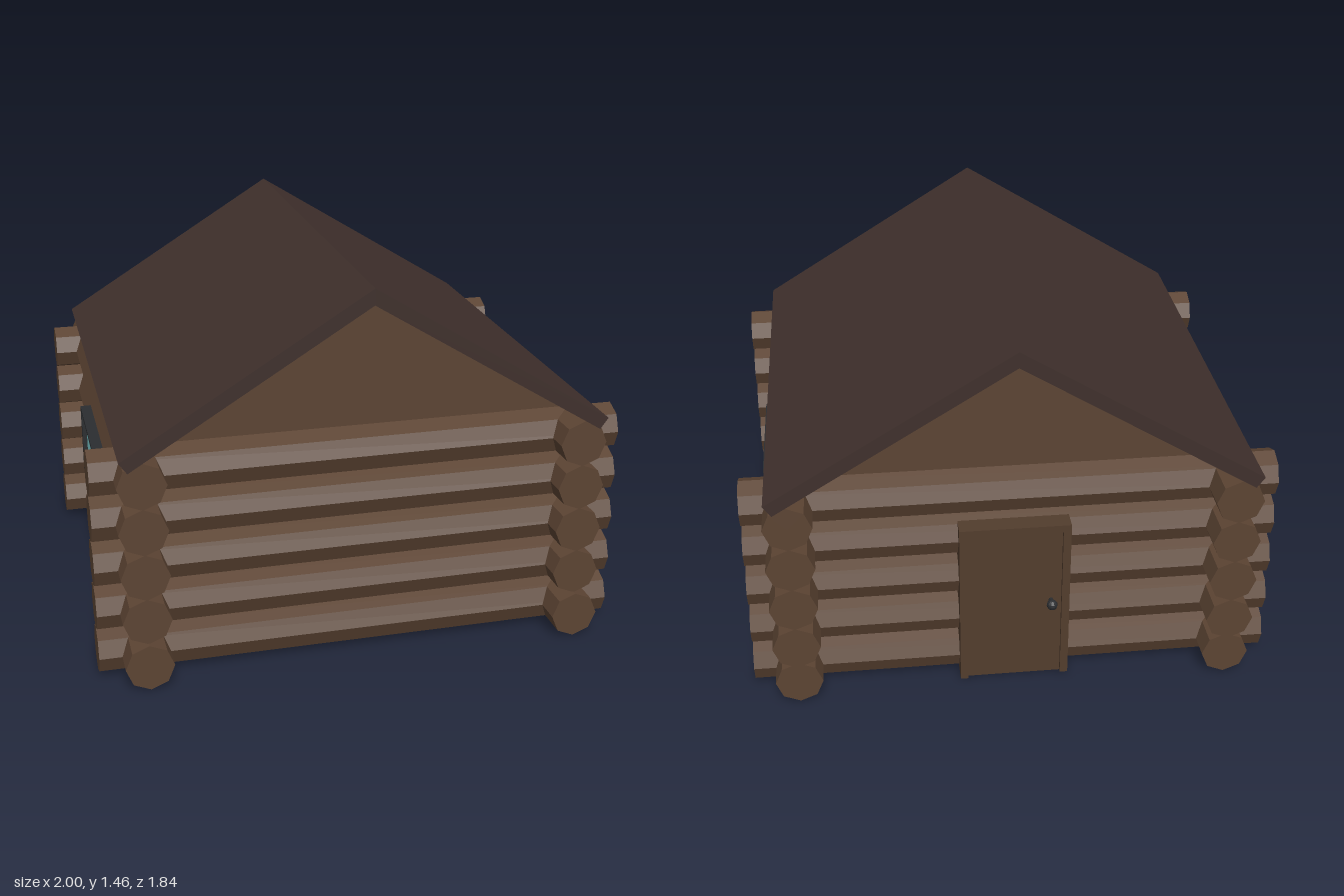
import * as THREE from 'three';

const mat = (color) => new THREE.MeshStandardMaterial({ color, flatShading: true });

export function createModel() {
  const cabin = new THREE.Group();
  cabin.name = 'logCabin';
  const wood = mat(0x5c4433), roofMat = mat(0x3f302c), doorMat = mat(0x523d2d);
  const dark = mat(0x2b2d30), glassMat = mat(0x80d0d4), floorMat = mat(0x4a3a2c);

  const add = (name, geometry, material, x, y, z, parent = cabin) => {
    const mesh = new THREE.Mesh(geometry, material);
    mesh.name = name;
    mesh.position.set(x, y, z);
    parent.add(mesh);
    return mesh;
  };
  const box = (name, material, [x0, x1], [y0, y1], [z0, z1], parent) =>
    add(name, new THREE.BoxGeometry(x1 - x0, y1 - y0, z1 - z0), material,
      (x0 + x1) / 2, (y0 + y1) / 2, (z0 + z1) / 2, parent);
  // Flat outline in x and y, extruded from z0 to z1
  const slab = (name, points, z0, z1, material) => {
    const shape = new THREE.Shape(points.map(([x, y]) => new THREE.Vector2(x, y)));
    const geometry = new THREE.ExtrudeGeometry(shape, { depth: z1 - z0, bevelEnabled: false });
    return add(name, geometry, material, 0, 0, z0);
  };

  // Log walls: five crossing courses of octagonal logs
  const R = 0.09, sideX = 0.825, frontZ = 0.73, backZ = -0.71;
  const wideLog = new THREE.CylinderGeometry(R, R, 2, 8).rotateZ(Math.PI / 2);
  const deepLog = new THREE.CylinderGeometry(R, R, 1.815, 8).rotateX(Math.PI / 2);
  for (let i = 0; i < 5; i++) {
    const y = R + i * 0.177;
    add('frontLog', wideLog, wood, 0, y, frontZ);
    add('backLog', wideLog, wood, 0, y, backZ);
    for (const s of [-1, 1]) add('sideLog', deepLog, wood, s * sideX, y, i === 0 ? 0.012 : -0.008);
  }
  box('floor', floorMat, [-sideX, sideX], [0, 0.03], [backZ, frontZ]);

  // Gables, set back above the middle of the end walls
  const gable = [[-0.84, 0.79], [0.84, 0.79], [0.84, 0.896], [0, 1.392], [-0.84, 0.896]];
  slab('frontGable', gable, frontZ - 0.03, frontZ, wood);
  slab('backGable', gable, backZ, backZ + 0.03, wood);

  // Roof: one bent slab with square-cut eaves
  slab('roof', [[-0.905, 0.904], [-0.875, 0.862], [0, 1.402], [0.875, 0.862], [0.905, 0.904], [0, 1.463]],
    -0.922, 0.922, roofMat);

  // Side windows: frame bars around a slightly recessed pane
  for (const s of [-1, 1]) {
    const win = new THREE.Group();
    win.name = s > 0 ? 'leftWindow' : 'rightWindow';
    cabin.add(win);
    const span = (a, b) => (s > 0 ? [a, b] : [-b, -a]);
    const depth = span(0.82, 0.937);
    box('windowPane', glassMat, span(0.82, 0.919), [0.38, 0.665], [-0.25, 0.23], win);
    box('windowTop', dark, depth, [0.657, 0.672], [-0.275, 0.255], win);
    box('windowSill', dark, depth, [0.373, 0.388], [-0.275, 0.255], win);
    box('windowPost', dark, depth, [0.388, 0.657], [0.222, 0.255], win);
    box('windowPost', dark, depth, [0.388, 0.657], [-0.275, -0.242], win);
  }

  // Back door: frame, recessed leaf and knob
  const door = new THREE.Group();
  door.name = 'door';
  cabin.add(door);
  const doorDepth = [-0.835, -0.72];
  box('doorLeaf', doorMat, [-0.19, 0.18], [0, 0.67], [-0.82, -0.72], door);
  box('doorPost', doorMat, [0.175, 0.205], [0, 0.69], doorDepth, door);
  box('doorPost', doorMat, [-0.215, -0.185], [0, 0.69], doorDepth, door);
  box('doorLintel', doorMat, [-0.185, 0.175], [0.66, 0.69], doorDepth, door);
  const stem = new THREE.CylinderGeometry(0.009, 0.009, 0.03, 8).rotateX(Math.PI / 2);
  add('knobStem', stem, dark, -0.145, 0.345, -0.83, door);
  add('doorKnob', new THREE.SphereGeometry(0.021, 10, 8), dark, -0.145, 0.345, -0.855, door);

  return cabin;
}
